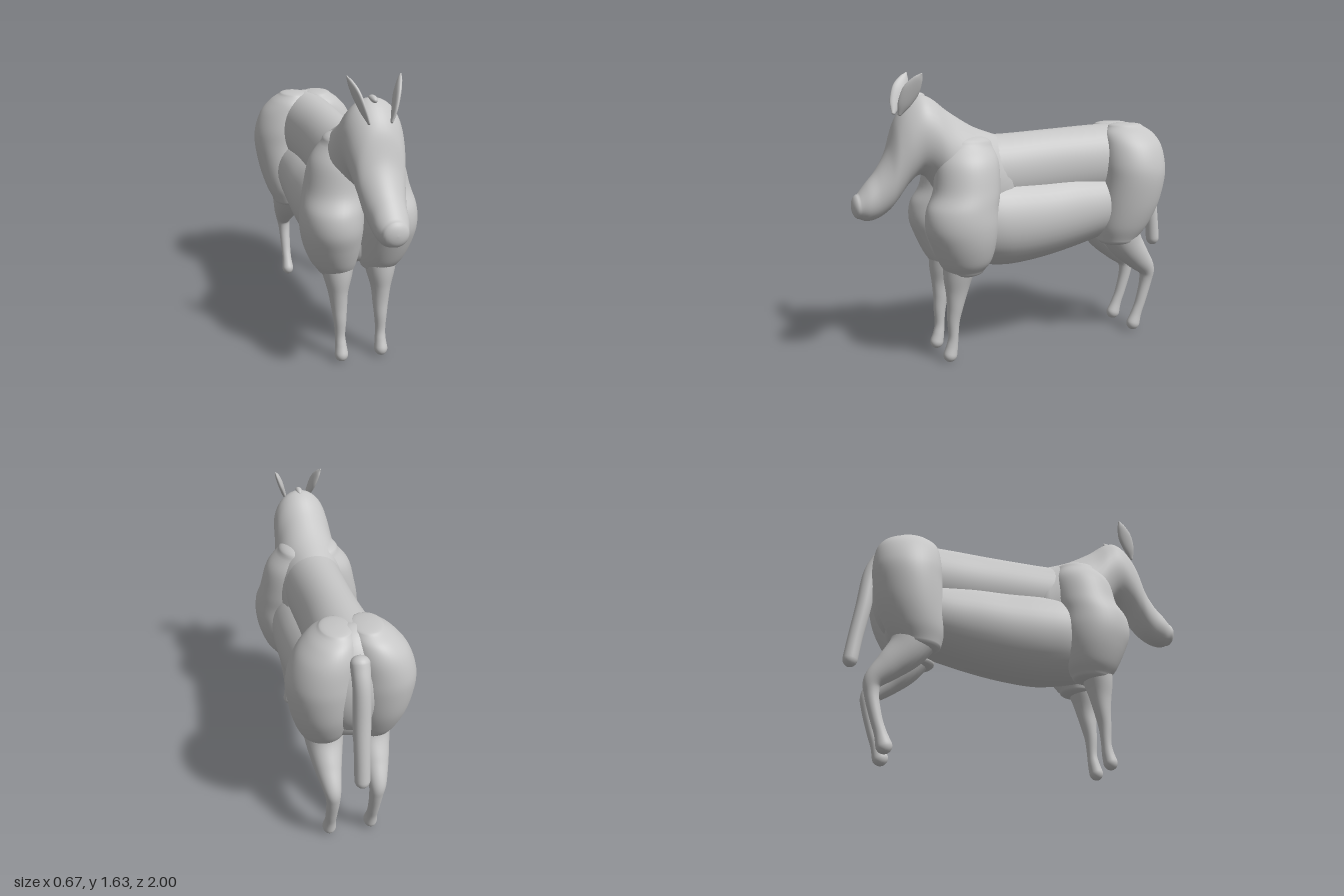
import * as THREE from 'three';

const hide = new THREE.MeshStandardMaterial({ color: 0xc6c6c6 });
hide.name = 'pale grey';

const X = new THREE.Vector3(1, 0, 0);

// Smooth skin over rows of [x, y, z, sideRadius, depthRadius], with domed ends.
// A fixed axis keeps every section parallel; otherwise sections follow the path.
function loft(name, rows, { axis = null, caps = [0.03, 0.03], steps = 6, sides = 40 } = {}) {
  const pathA = new THREE.CatmullRomCurve3(rows.map(r => new THREE.Vector3(r[0], r[1], r[2])), false, 'catmullrom', 0.5);
  const pathR = new THREE.CatmullRomCurve3(rows.map(r => new THREE.Vector3(r[3], r[4], 0)), false, 'catmullrom', 0.5);
  const n = (rows.length - 1) * steps;
  const rings = [];
  for (let i = 0; i <= n; i++) {
    const t = i / n;
    const r = pathR.getPoint(t);
    rings.push({ c: pathA.getPoint(t), t: axis ? axis.clone() : pathA.getTangent(t), rx: r.x, rd: r.y });
  }
  const dome = (ring, length, dir) => {
    const out = [];
    for (let k = 1; k <= 7; k++) {
      const a = (k / 7) * Math.PI / 2;
      const f = Math.max(Math.cos(a), 0.001);
      out.push({
        c: ring.c.clone().addScaledVector(ring.t, dir * length * Math.sin(a)),
        t: ring.t, rx: ring.rx * f, rd: ring.rd * f
      });
    }
    return out;
  };
  const all = [...dome(rings[0], caps[0], -1).reverse(), ...rings, ...dome(rings[n], caps[1], 1)];

  const pos = [], index = [];
  all.forEach((ring, i) => {
    const side = X.clone().addScaledVector(ring.t, -X.dot(ring.t)).normalize();
    const depth = ring.t.clone().cross(side);
    for (let j = 0; j < sides; j++) {
      const a = (j / sides) * Math.PI * 2;
      const p = ring.c.clone()
        .addScaledVector(side, ring.rx * Math.cos(a))
        .addScaledVector(depth, ring.rd * Math.sin(a));
      pos.push(p.x, p.y, p.z);
      if (i === all.length - 1) continue;
      const k = (j + 1) % sides, b = i * sides, d = b + sides;
      index.push(b + j, b + k, d + j, b + k, d + k, d + j);
    }
  });
  const geo = new THREE.BufferGeometry();
  geo.setAttribute('position', new THREE.Float32BufferAttribute(pos, 3));
  geo.setIndex(index);
  geo.computeVertexNormals();
  const mesh = new THREE.Mesh(geo, hide);
  mesh.name = name;
  return mesh;
}

function ellipsoid(name, x, y, z, rx, ry, rz) {
  const mesh = new THREE.Mesh(new THREE.SphereGeometry(1, 40, 28), hide);
  mesh.name = name;
  mesh.position.set(x, y, z);
  mesh.scale.set(rx, ry, rz);
  return mesh;
}

export function createModel() {
  const model = new THREE.Group();
  model.name = 'horse';
  const forward = new THREE.Vector3(0, 0, 1);
  const back = new THREE.Vector3(0, 0, -1);
  const down = new THREE.Vector3(0, -1, 0);

  // Trunk: a narrow back above a wider belly
  model.add(loft('back', [
    [0, 1.07, 0.30, 0.18, 0.22], [0, 1.07, 0.10, 0.175, 0.222], [0, 1.085, -0.20, 0.17, 0.222],
    [0, 1.095, -0.45, 0.18, 0.225], [0, 1.10, -0.70, 0.19, 0.228]
  ], { axis: back, caps: [0.08, 0.12] }));
  model.add(loft('belly', [
    [0, 0.80, 0.40, 0.20, 0.24], [0, 0.80, 0.25, 0.25, 0.265], [0, 0.795, 0.10, 0.26, 0.275],
    [0, 0.80, -0.10, 0.255, 0.262], [0, 0.82, -0.30, 0.245, 0.245], [0, 0.84, -0.50, 0.23, 0.215],
    [0, 0.87, -0.70, 0.19, 0.20]
  ], { axis: back, caps: [0.08, 0.1] }));

  // Neck and head in upright slices from withers to nose
  const profile = [ // z, top, bottom, half width
    [0.15, 1.285, 0.72, 0.18], [0.30, 1.34, 0.74, 0.205], [0.45, 1.43, 0.84, 0.187],
    [0.55, 1.505, 1.03, 0.17], [0.62, 1.522, 1.085, 0.162], [0.69, 1.475, 1.035, 0.15],
    [0.75, 1.385, 0.955, 0.132], [0.80, 1.23, 0.90, 0.116], [0.86, 1.125, 0.862, 0.10],
    [0.92, 1.055, 0.85, 0.09], [0.965, 1.00, 0.865, 0.07]
  ];
  model.add(loft('neckAndHead', profile.map(([z, top, low, w]) =>
    [0, (top + low) / 2, z, w, (top - low) / 2]), { axis: forward, caps: [0.1, 0.035], steps: 8 }));
  model.add(ellipsoid('forelock', 0, 1.515, 0.62, 0.02, 0.022, 0.045));

  // Middle of the rump, between the haunches
  model.add(ellipsoid('rump', 0, 1.02, -0.685, 0.2, 0.31, 0.19));

  for (const [label, s] of [['left', 1], ['right', -1]]) {
    const add = (part, rows, options) =>
      model.add(loft(label + part, rows.map(([x, ...rest]) => [s * x, ...rest]), options));

    add('Shoulder', [
      [0.08, 1.25, 0.36, 0.10, 0.14], [0.10, 1.15, 0.37, 0.155, 0.18], [0.125, 1.0, 0.385, 0.17, 0.19],
      [0.15, 0.90, 0.42, 0.17, 0.205], [0.155, 0.80, 0.425, 0.17, 0.208], [0.15, 0.70, 0.415, 0.157, 0.185],
      [0.138, 0.60, 0.405, 0.13, 0.15], [0.125, 0.54, 0.405, 0.10, 0.11]
    ], { axis: down, caps: [0.05, 0.03] });

    add('FrontLeg', [
      [0.125, 0.65, 0.42, 0.11, 0.11], [0.125, 0.52, 0.445, 0.082, 0.085], [0.125, 0.42, 0.455, 0.056, 0.063],
      [0.122, 0.33, 0.465, 0.045, 0.046], [0.12, 0.25, 0.475, 0.036, 0.036], [0.12, 0.16, 0.477, 0.029, 0.029],
      [0.118, 0.10, 0.485, 0.032, 0.034], [0.118, 0.05, 0.497, 0.038, 0.04]
    ], { caps: [0.05, 0.043], sides: 28 });

    add('Haunch', [
      [0.08, 1.315, -0.67, 0.085, 0.11], [0.105, 1.27, -0.68, 0.12, 0.16], [0.13, 1.20, -0.69, 0.155, 0.185],
      [0.15, 1.10, -0.69, 0.175, 0.197], [0.155, 1.0, -0.685, 0.18, 0.197], [0.15, 0.85, -0.66, 0.165, 0.19],
      [0.14, 0.72, -0.625, 0.14, 0.165], [0.13, 0.63, -0.60, 0.11, 0.125]
    ], { axis: down, caps: [0.018, 0.04] });

    add('HindLeg', [
      [0.13, 0.72, -0.60, 0.12, 0.14], [0.13, 0.60, -0.66, 0.10, 0.11], [0.13, 0.50, -0.745, 0.075, 0.083],
      [0.125, 0.41, -0.825, 0.05, 0.055], [0.12, 0.33, -0.83, 0.038, 0.04], [0.12, 0.20, -0.797, 0.032, 0.033],
      [0.12, 0.12, -0.768, 0.031, 0.034], [0.12, 0.055, -0.745, 0.038, 0.044]
    ], { caps: [0.05, 0.045], sides: 28 });

    // Thin leaf-shaped ear
    add('Ear', [
      [0.06, 1.425, 0.735, 0.007, 0.012], [0.08, 1.48, 0.715, 0.013, 0.036], [0.103, 1.55, 0.682, 0.016, 0.046],
      [0.125, 1.605, 0.652, 0.012, 0.028], [0.138, 1.635, 0.635, 0.004, 0.006]
    ], { caps: [0.01, 0.006], sides: 20 });
  }

  // Hanging tail
  model.add(loft('tail', [
    [0, 1.21, -0.845, 0.05, 0.05], [0, 1.10, -0.89, 0.046, 0.046], [0, 0.90, -0.913, 0.046, 0.045],
    [0, 0.70, -0.942, 0.042, 0.042], [0, 0.57, -0.957, 0.041, 0.042]
  ], { caps: [0.04, 0.048], sides: 28 }));

  return model;
}
